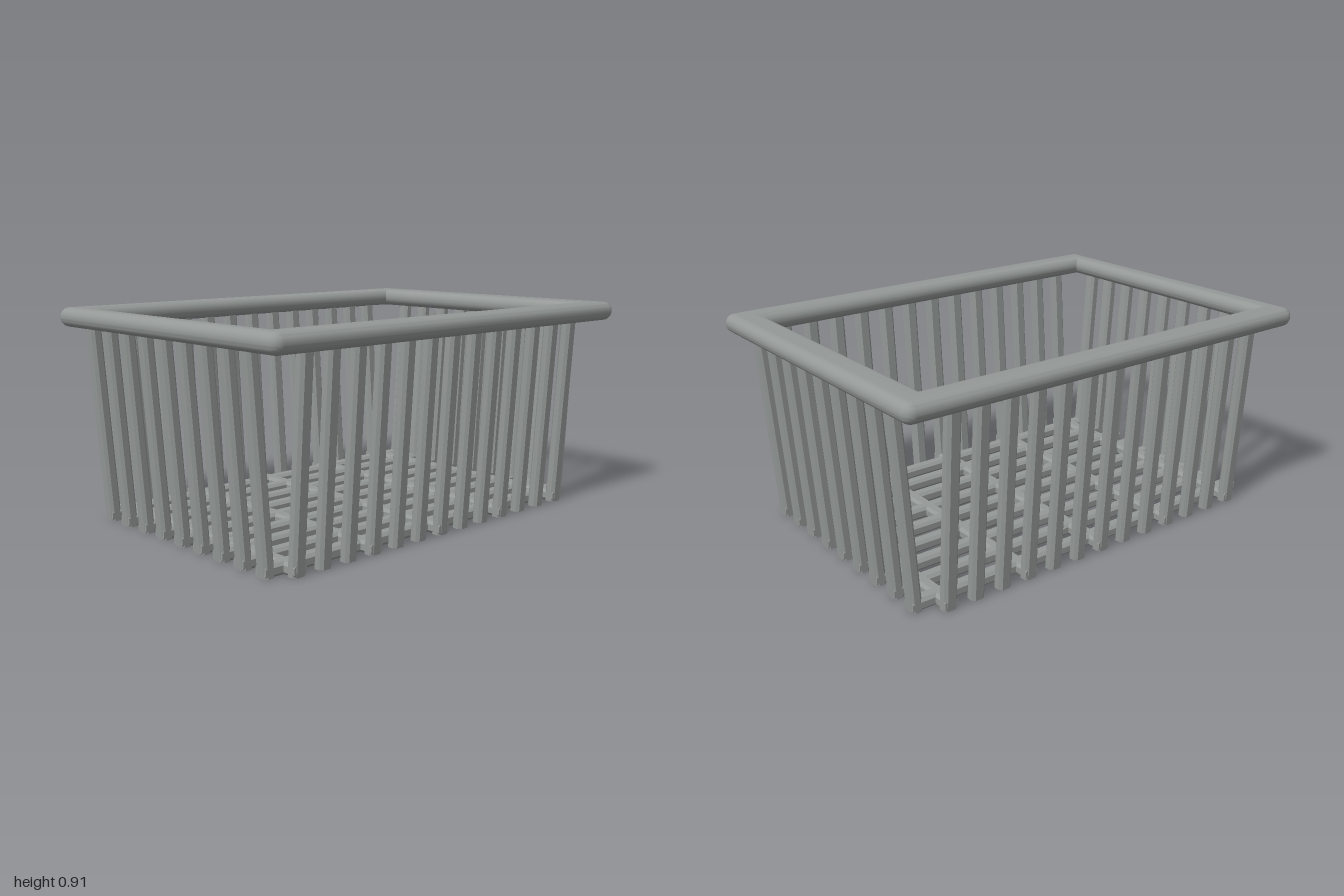
import * as THREE from 'three';
import { toCreasedNormals } from 'three/addons/utils/BufferGeometryUtils.js';

const material = new THREE.MeshStandardMaterial({ color: 0x949997 });
const PITCH = 0.1294;                                   // spacing of all slats
const slatX = Array.from({ length: 13 }, (_, i) => -0.795 + i * PITCH);
const slatZ = Array.from({ length: 9 }, (_, i) => -0.516 + i * PITCH);
const BAR_WIDTH = 0.06, BAR_THICK = 0.05, CHAMFER = 0.012;

// Chamfered bar section, extruded one unit long
function barGeometry() {
  const w = BAR_WIDTH / 2, t = BAR_THICK / 2, c = CHAMFER;
  const section = new THREE.Shape([
    [w, -t + c], [w, t - c], [w - c, t], [-w + c, t],
    [-w, t - c], [-w, -t + c], [-w + c, -t], [w - c, -t],
  ].map(([x, y]) => new THREE.Vector2(x, y)));
  return new THREE.ExtrudeGeometry(section, { depth: 1, bevelEnabled: false });
}

// Bar between two points; its ends stay square to the given axis, so leaning bars are sheared
function bar(name, from, to, axis, across) {
  const a = new THREE.Vector3(...from), d = new THREE.Vector3(...to).sub(a);
  const u = new THREE.Vector3(...across);
  const v = new THREE.Vector3(...axis).cross(u);
  const m = new THREE.Matrix4().makeBasis(u, v, d).setPosition(a);
  const mesh = new THREE.Mesh(barGeometry().applyMatrix4(m), material);
  mesh.name = name;
  return mesh;
}

// Rectangle with slightly rounded corners
function roundedRectangle(x0, x1, z0, z1, r) {
  const p = new THREE.Shape();
  p.moveTo(x0 + r, z0);
  p.lineTo(x1 - r, z0); p.quadraticCurveTo(x1, z0, x1, z0 + r);
  p.lineTo(x1, z1 - r); p.quadraticCurveTo(x1, z1, x1 - r, z1);
  p.lineTo(x0 + r, z1); p.quadraticCurveTo(x0, z1, x0, z1 - r);
  p.lineTo(x0, z0 + r); p.quadraticCurveTo(x0, z0, x0 + r, z0);
  return p;
}

// Broad rim with fully rounded edges
function makeRim() {
  const R = 0.04;
  const shape = roundedRectangle(-1 + R, 1 - R, -0.725 + R, 0.725 - R, 0.006);
  // the hole is drawn wider by R, as the bevel closes it again
  const x0 = -0.895 - R, x1 = 0.857 + R, z0 = -0.593 - R, z1 = 0.59 + R;
  shape.holes.push(new THREE.Path([[x0, z0], [x0, z1], [x1, z1], [x1, z0]]
    .map(([x, z]) => new THREE.Vector2(x, z))));
  const geo = new THREE.ExtrudeGeometry(shape, {
    depth: 0.002, bevelEnabled: true, bevelThickness: R, bevelSize: R,
    bevelSegments: 8, curveSegments: 4,
  });
  geo.rotateX(Math.PI / 2).translate(0, 0.868, 0);
  const mesh = new THREE.Mesh(toCreasedNormals(geo, 0.6), material);
  mesh.name = 'rim';
  return mesh;
}

export function createModel() {
  const basket = new THREE.Group();
  basket.name = 'basket';
  const part = (name) => {
    const g = new THREE.Group();
    g.name = name;
    basket.add(g);
    return g;
  };
  const X = [1, 0, 0], Y = [0, 1, 0], Z = [0, 0, 1];
  const TOP = 0.86;

  // Front and back walls, leaning outwards
  for (const [name, s] of [['frontWall', 1], ['backWall', -1]]) {
    const wall = part(name);
    for (const x of slatX)
      wall.add(bar('wallSlat', [x, 0, s * 0.585], [x, TOP, s * 0.643], Y, X));
  }

  // Side walls
  for (const [name, bottom, top] of [['leftWall', 0.865, 0.93], ['rightWall', -0.883, -0.948]]) {
    const wall = part(name);
    for (const z of slatZ)
      wall.add(bar('wallSlat', [bottom, 0, z], [top, TOP, z], Y, Z));
  }

  // Floor grid: long bars, crossed under every third wall slat
  const floor = part('floor');
  const y = BAR_THICK / 2;
  for (const z of slatZ)
    floor.add(bar('floorLongBar', [-0.907, y, z], [0.889, y, z], X, Z));
  for (let i = 0; i < slatX.length; i += 3)
    floor.add(bar('floorCrossBar', [slatX[i], y, -0.61], [slatX[i], y, 0.61], Z, X));

  basket.add(makeRim());
  return basket;
}
